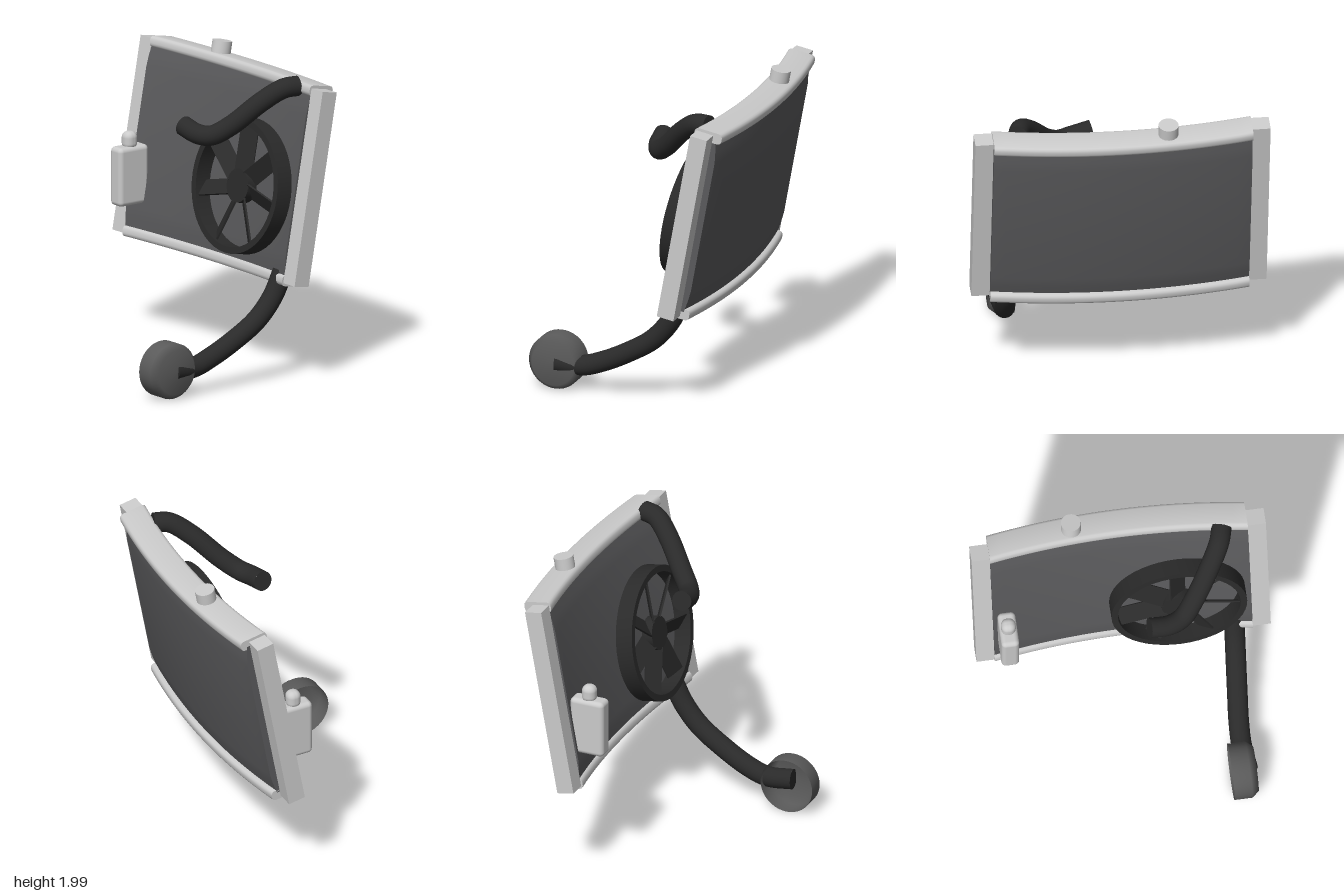
import * as THREE from 'three';
import { toCreasedNormals } from 'three/addons/utils/BufferGeometryUtils.js';
import { RoundedBoxGeometry } from 'three/addons/geometries/RoundedBoxGeometry.js';

const mat = (name, color, side = THREE.FrontSide) =>
  Object.assign(new THREE.MeshStandardMaterial({ color, side }), { name });

function add(parent, name, geometry, material, x = 0, y = 0, z = 0) {
  const mesh = new THREE.Mesh(geometry, material);
  mesh.name = name;
  mesh.position.set(x, y, z);
  parent.add(mesh);
  return mesh;
}

// Profile swept along z, bowed so that the middle stands out towards +x
function bowed(points, half = 0.83, sag = 0.07) {
  const shape = new THREE.Shape(points.map(p => new THREE.Vector2(...p)));
  const geo = new THREE.ExtrudeGeometry(shape, { depth: half * 2, steps: 20, bevelEnabled: false });
  geo.translate(0, 0, -half);
  const pos = geo.attributes.position;
  for (let i = 0; i < pos.count; i++) {
    pos.setX(i, pos.getX(i) - sag * (pos.getZ(i) / half) ** 2);
  }
  return toCreasedNormals(geo, 0.85);
}

// Rounded rectangle as profile points
function roundedRect(x0, y0, x1, y1, r) {
  const corners = [[x1 - r, y1 - r], [x0 + r, y1 - r], [x0 + r, y0 + r], [x1 - r, y0 + r]];
  const pts = [];
  corners.forEach(([cx, cy], k) => {
    for (let i = 0; i <= 3; i++) {
      const a = (k + i / 3) * Math.PI / 2;
      pts.push([cx + r * Math.cos(a), cy + r * Math.sin(a)]);
    }
  });
  return pts;
}

// Tube with closed ends
function hose(parent, name, points, radius, material) {
  const group = new THREE.Group();
  group.name = name;
  parent.add(group);
  const curve = new THREE.CatmullRomCurve3(points.map(p => new THREE.Vector3(...p)));
  add(group, name + 'Tube', new THREE.TubeGeometry(curve, 48, radius, 20), material);
  for (const t of [0, 1]) {
    const p = curve.getPoint(t);
    const cap = add(group, name + 'End', new THREE.CircleGeometry(radius, 20), material, p.x, p.y, p.z);
    const out = curve.getTangent(t).multiplyScalar(t ? 1 : -1);
    cap.quaternion.setFromUnitVectors(new THREE.Vector3(0, 0, 1), out);
  }
}

export function createModel() {
  const model = new THREE.Group();
  model.name = 'radiatorAssembly';
  const metal = mat('lightMetal', 0xcbcbcb);
  const coreGrey = mat('coreGrey', 0x5a5a5c);
  const cupGrey = mat('cupGrey', 0x5a5a5a, THREE.DoubleSide);
  const rubber = mat('blackRubber', 0x2a2a2a);

  // Tilted radiator: core, tanks and side posts
  const radiator = new THREE.Group();
  radiator.name = 'radiator';
  radiator.position.set(0.42, 1.28, 0);
  radiator.rotation.z = -0.181;
  model.add(radiator);

  add(radiator, 'core', bowed([
    [0.02, -0.6], [0.148, -0.6], [0.162, -0.52], [0.17, -0.45], [0.17, 0.45], [0.162, 0.52],
    [0.148, 0.6], [0.02, 0.6], [0.007, 0.52], [0, 0.45], [0, -0.45], [0.007, -0.52],
  ]), coreGrey);
  add(radiator, 'topTank', bowed(roundedRect(0, 0.58, 0.188, 0.652, 0.025)), metal);
  add(radiator, 'bottomTank', bowed(roundedRect(0, -0.652, 0.188, -0.58, 0.025)), metal);
  for (const s of [1, -1]) {
    add(radiator, 'sidePost', new THREE.BoxGeometry(0.115, 1.265, 0.118), metal, 0, 0, s * 0.888);
  }
  add(radiator, 'fillerCap', toCreasedNormals(new THREE.CylinderGeometry(0.064, 0.064, 0.1, 24), 0.8),
    metal, 0.076, 0.68, -0.288);

  // Fan: shroud ring, hub and pitched blades, axis across the core
  const fan = new THREE.Group();
  fan.name = 'fan';
  fan.position.set(-0.123, -0.094, 0.355);
  radiator.add(fan);
  const ringProfile = [[0.395, -0.057], [0.437, -0.057], [0.437, 0.057], [0.395, 0.057], [0.395, -0.057]]
    .map(p => new THREE.Vector2(...p));
  const ring = add(fan, 'shroudRing', toCreasedNormals(new THREE.LatheGeometry(ringProfile, 48), 0.6), rubber);
  ring.rotation.z = Math.PI / 2;
  const hub = add(fan, 'fanHub', new THREE.CylinderGeometry(0.11, 0.11, 0.07, 24), rubber);
  hub.rotation.z = Math.PI / 2;
  const blades = 7;
  for (let i = 0; i < blades; i++) {
    const spoke = new THREE.Group();
    spoke.name = 'fanBlade';
    spoke.rotation.x = (i / blades) * Math.PI * 2;
    fan.add(spoke);
    const blade = add(spoke, 'bladePlate', new THREE.BoxGeometry(0.012, 0.32, 0.12), rubber, 0, 0.25, 0);
    blade.rotation.y = 0.6;
  }

  // Overflow bottle with its cap
  add(model, 'overflowBottle', new RoundedBoxGeometry(0.235, 0.385, 0.115, 4, 0.03), metal, 0.23, 1.073, -0.745);
  add(model, 'bottleCap', new RoundedBoxGeometry(0.094, 0.12, 0.094, 5, 0.042), metal, 0.23, 1.3, -0.745);

  // Hoses
  hose(model, 'upperHose', [
    [0.5, 1.895, 0.665], [0.4, 1.885, 0.635], [0.28, 1.8, 0.56], [0.13, 1.645, 0.44],
    [0.04, 1.575, 0.35], [0, 1.575, 0.26], [-0.012, 1.605, 0.13],
  ], 0.065, rubber);
  hose(model, 'lowerHose', [
    [0.33, 0.71, 0.72], [0.25, 0.555, 0.715], [0.13, 0.42, 0.705], [-0.04, 0.31, 0.69],
    [-0.22, 0.22, 0.675], [-0.36, 0.175, 0.673], [-0.535, 0.182, 0.69],
  ], 0.066, rubber);

  // Pump cup, open towards the back
  const cupProfile = [[0.181, -0.08], [0.181, 0.035], [0.145, 0.08], [0, 0.083]]
    .map(p => new THREE.Vector2(...p));
  const cup = add(model, 'pumpCup', new THREE.LatheGeometry(cupProfile, 40), cupGrey, -0.538, 0.183, 0.66);
  cup.rotation.x = Math.PI / 2;

  return model;
}
